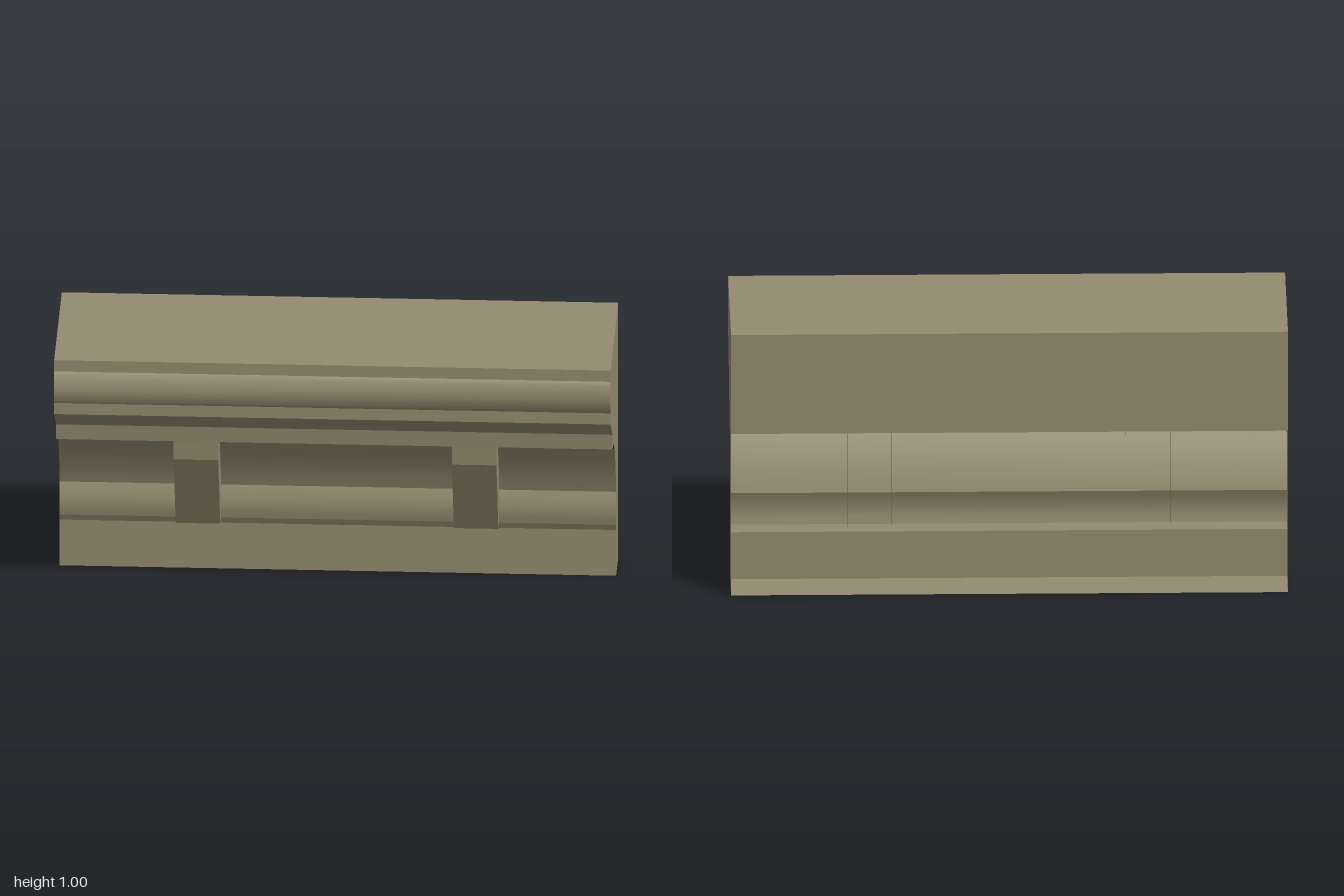
import * as THREE from 'three';

const stone = new THREE.MeshStandardMaterial({ color: 0x948c70, side: THREE.DoubleSide });
stone.name = 'olive stone';
const shade = new THREE.MeshStandardMaterial({ color: 0x3c2410 });
shade.name = 'dark brown';

// Sweeps a run of [z, y] points along x; normals are smooth within one run
function strip(points, x0, x1) {
  const pos = [], index = [];
  points.forEach(([z, y], i) => {
    pos.push(x0, y, z, x1, y, z);
    const a = 2 * i;
    if (i < points.length - 1) index.push(a, a + 1, a + 3, a, a + 3, a + 2);
  });
  const g = new THREE.BufferGeometry();
  g.setAttribute('position', new THREE.Float32BufferAttribute(pos, 3));
  g.setIndex(index);
  g.computeVertexNormals();
  return g;
}

// Flat panel in the z-y plane at a given x
function panel(points, x) {
  const shape = new THREE.Shape(points.map(([z, y]) => new THREE.Vector2(z, y)));
  const g = new THREE.ShapeGeometry(shape);
  g.rotateY(-Math.PI / 2);
  g.translate(x, 0, 0);
  return g;
}

function add(parent, name, geometry, material = stone) {
  const mesh = new THREE.Mesh(geometry, material);
  mesh.name = name;
  parent.add(mesh);
}

export function createModel() {
  const model = new THREE.Group();
  model.name = 'cornice';

  // Runs of the moulding from the underside, up the front, to the open back
  const runs = [
    ['underside', [[-0.313, 0], [-0.148, 0]]],
    ['base', [[-0.148, 0], [-0.148, 0.18]]],
    ['baseChamfer', [[-0.148, 0.18], [-0.137, 0.205]]],
    ['lowerBead', [[-0.137, 0.205], [-0.131, 0.235], [-0.13, 0.26], [-0.135, 0.295], [-0.148, 0.33]]],
    ['cove', [[-0.148, 0.33], [-0.13, 0.39], [-0.09, 0.475], [-0.042, 0.54], [-0.018, 0.56],
      [0.012, 0.584], [0.045, 0.604], [0.08, 0.62]]],
    ['ledgeUnderside', [[0.08, 0.62], [0.127, 0.619]]],
    ['ledge', [[0.127, 0.619], [0.134, 0.68]]],
    ['soffit', [[0.134, 0.68], [0.286, 0.788]]],
    ['lowerFascia', [[0.286, 0.788], [0.286, 0.832]]],
    ['upperBead', [[0.286, 0.832], [0.298, 0.845], [0.313, 0.894], [0.298, 0.942], [0.286, 0.956]]],
    ['upperFascia', [[0.286, 0.956], [0.286, 1]]],
    ['top', [[0.286, 1], [-0.313, 1]]],
    ['backPanel', [[-0.313, 1], [-0.313, 0.62]]],
  ];
  for (const [name, points] of runs) add(model, name, strip(points, -1, 1));

  // End walls share the full outline
  const outline = runs.flatMap(([, points]) => points.slice(0, -1));
  outline.push([-0.313, 0.62]);
  add(model, 'leftEnd', panel(outline, 1));
  add(model, 'rightEnd', panel(outline, -1));

  // Dark band under the ledge, just clear of the cove
  add(model, 'coveBand', strip([[-0.016, 0.558], [0.014, 0.581], [0.047, 0.601], [0.082, 0.617]], -0.999, 0.999), shade);

  // Hollow brackets, open at the back and top
  const face = [[0.082, 0.62], [0.076, 0.525], [-0.082, 0.205], [-0.16, 0.205]];
  for (const x of [-0.5, 0.5]) {
    const bracket = new THREE.Group();
    bracket.name = x > 0 ? 'leftBracket' : 'rightBracket';
    const x0 = x - 0.08, x1 = x + 0.08;
    ['bracketFront', 'bracketSlope', 'bracketFoot'].forEach((name, i) =>
      add(bracket, name, strip([face[i + 1], face[i]], x0, x1)));
    for (const side of [x0, x1]) add(bracket, 'bracketSide', panel([...face, [-0.16, 0.62]], side));
    model.add(bracket);
  }
  return model;
}
